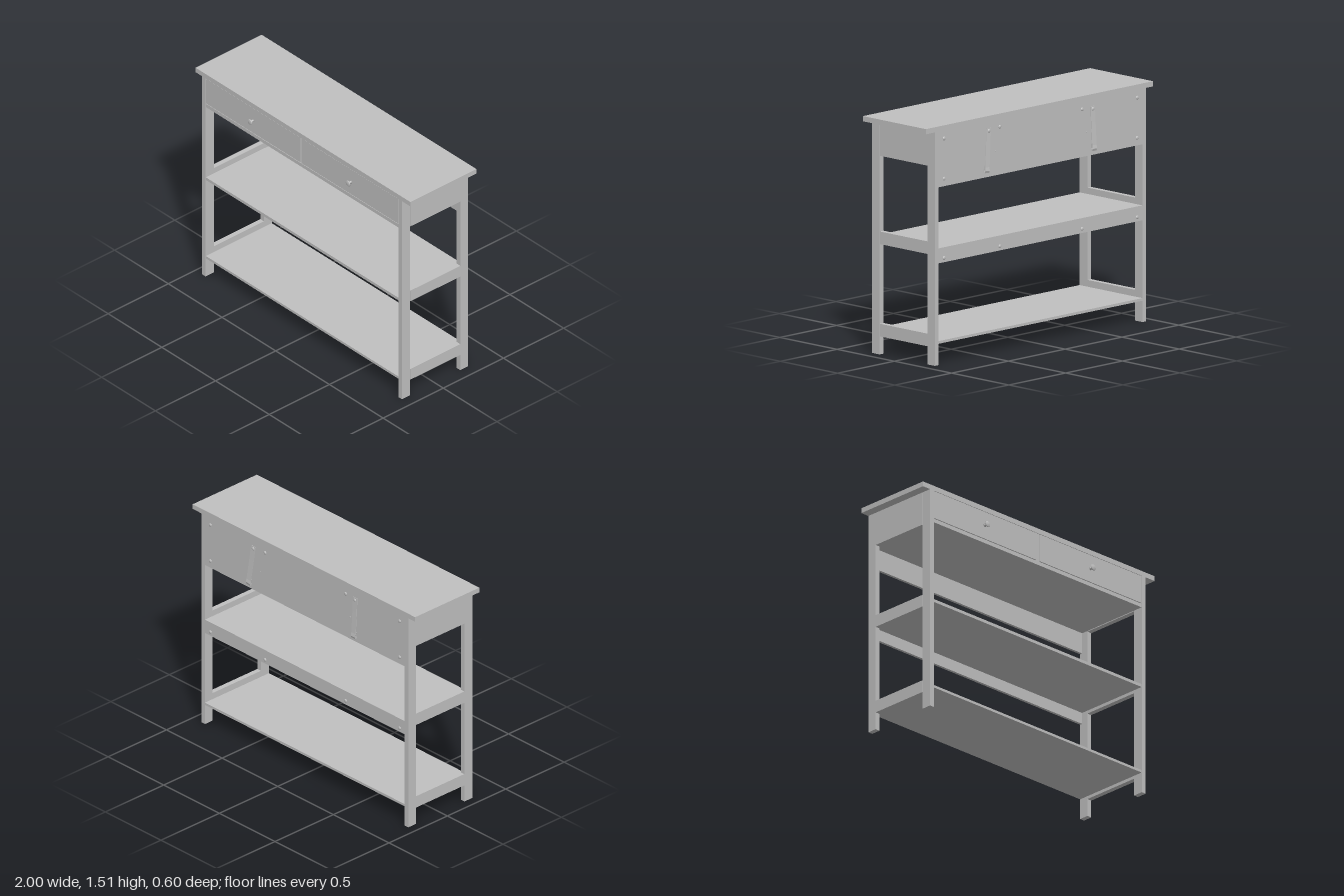
import * as THREE from 'three';

export function createModel() {
  const model = new THREE.Group();
  model.name = 'consoleTable';
  const grey = new THREE.MeshStandardMaterial({ color: 0xc0c0c0 });
  grey.name = 'plain grey';

  const add = (name, geometry, parent = model) => {
    const mesh = new THREE.Mesh(geometry, grey);
    mesh.name = name;
    parent.add(mesh);
    return mesh;
  };
  // Box given by its limits on each axis
  const box = (name, x0, x1, y0, y1, z0, z1) => {
    const mesh = add(name, new THREE.BoxGeometry(x1 - x0, y1 - y0, z1 - z0));
    mesh.position.set((x0 + x1) / 2, (y0 + y1) / 2, (z0 + z1) / 2);
    return mesh;
  };

  const front = 0.274, back = -0.276;
  const inL = 0.889, inR = -0.906; // inner faces of the legs
  const under = 1.48; // underside of the top

  box('tableTop', -1, 1, under, 1.513, back, front);

  // End frames: legs, rails and the solid panel beside the drawers
  for (const [side, x0, x1] of [['left', inL, 0.922], ['right', -0.939, inR]]) {
    box(side + 'FrontLeg', x0, x1, 0, under, 0.205, front);
    box(side + 'BackLeg', x0, x1, 0, under, back, -0.211);
    box(side + 'Panel', x0, x1, 1.26, under, -0.211, 0.203);
    box(side + 'MiddleRail', x0, x1, 0.7, 0.78, -0.211, 0.203);
    box(side + 'LowerRail', x0, x1, 0.115, 0.195, -0.211, 0.203);
  }

  // Shelves and the back boards
  box('drawerFloor', inR, inL, 1.265, 1.29, back + 0.018, front - 0.002);
  box('middleShelf', inR, inL, 0.72, 0.74, back, front - 0.002);
  box('bottomShelf', inR, inL, 0.135, 0.152, back, front - 0.002);
  box('backPanel', inR, inL, 1.127, under, back, back + 0.018);
  box('backRail', inR, inL, 0.645, 0.72, back, back + 0.018);

  // Drawer fronts with a divider between them
  box('drawerDivider', -0.019, 0.005, 1.29, under, back + 0.018, front - 0.004);
  box('rightDrawerFront', inR + 0.003, -0.022, 1.294, under - 0.002, 0.24, front - 0.001);
  box('leftDrawerFront', 0.008, inL - 0.003, 1.294, under - 0.002, 0.24, front - 0.001);

  // Turned knobs
  const knobProfile = [[0, 0], [0.011, 0], [0.007, 0.006], [0.006, 0.016], [0.012, 0.02],
    [0.019, 0.022], [0.02, 0.026], [0.016, 0.03], [0, 0.031]].map(p => new THREE.Vector2(...p));
  for (const x of [-0.465, 0.447]) {
    const knob = add('knob', new THREE.LatheGeometry(knobProfile, 24));
    knob.rotation.x = Math.PI / 2;
    knob.position.set(x, 1.386, front - 0.001);
  }

  // Domed screw heads on the back
  const screw = (x, y, r, z = back) => {
    const head = add('screw', new THREE.SphereGeometry(r, 16, 8, 0, Math.PI * 2, 0, Math.PI / 2));
    head.rotation.x = -Math.PI / 2;
    head.scale.y = 0.5;
    head.position.set(x, y, z);
  };
  for (const x of [0.84, 0.349, -0.375, -0.86]) {
    screw(x, 1.43, 0.012);
    screw(x, 0.672, 0.012);
  }
  for (const x of [0.84, -0.86]) screw(x, 1.175, 0.012);
  for (const x of [0.39, -0.415]) screw(x, 1.28, 0.004);

  // Hanging safety straps: a thin band folded into a loop at the bottom
  const path = [[0.003, 0], [0.008, -0.1], [0.017, -0.245], [0.021, -0.268], [0.016, -0.282],
    [0.007, -0.28], [0.004, -0.265], [0.008, -0.235]];
  const outline = path.concat(path.slice().reverse().map(([out, y], i) => {
    // The return edge sits on the inner side of the band
    const n = path.length - 1 - i;
    const a = path[Math.max(n - 1, 0)], b = path[Math.min(n + 1, path.length - 1)];
    const dx = b[0] - a[0], dy = b[1] - a[1], len = Math.hypot(dx, dy);
    return [out + (dy / len) * 0.003, y - (dx / len) * 0.003];
  }));
  const band = new THREE.Shape(outline.map(p => new THREE.Vector2(...p)));
  const bandGeometry = new THREE.ExtrudeGeometry(band, { depth: 0.038, bevelEnabled: false });
  bandGeometry.translate(0, 0, -0.019).rotateY(Math.PI / 2);
  for (const [x, tilt] of [[-0.465, 0], [0.45, 0.11]]) {
    const strap = add('strap', bandGeometry);
    strap.position.set(x, 1.438, back - 0.002);
    strap.rotation.z = tilt;
    screw(x, 1.42, 0.012, back - 0.005);
  }

  return model;
}
